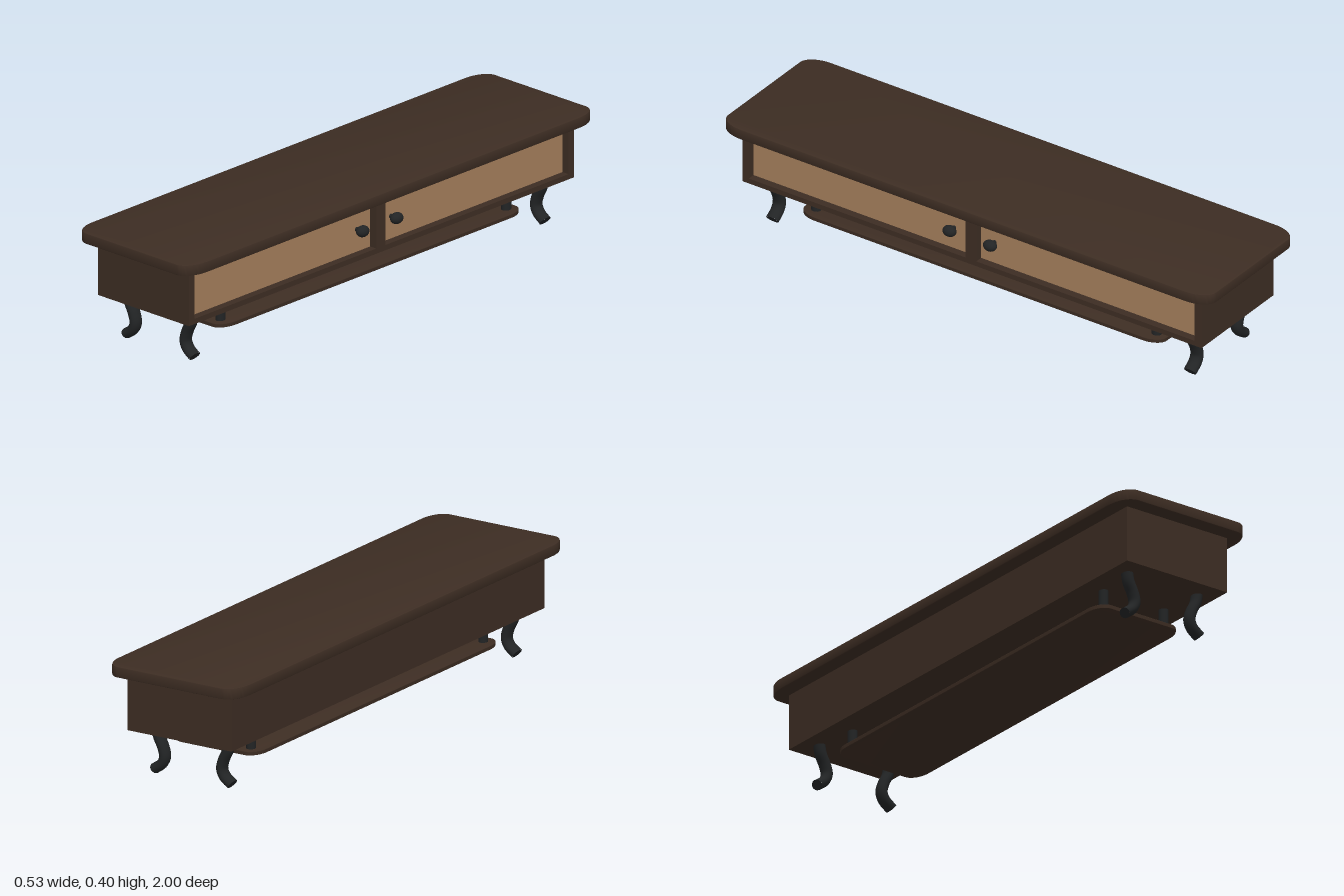
import * as THREE from 'three';
import { toCreasedNormals } from 'three/addons/utils/BufferGeometryUtils.js';

const darkWood = new THREE.MeshStandardMaterial({ color: 0x3d2d23 });
darkWood.name = 'darkWood';
const paleWood = new THREE.MeshStandardMaterial({ color: 0xa47e5b });
paleWood.name = 'paleWood';
const blackIron = new THREE.MeshStandardMaterial({ color: 0x222425 });
blackIron.name = 'blackIron';

export function createModel() {
  const model = new THREE.Group();
  model.name = 'lowCabinet';

  function add(name, geometry, material, x = 0, y = 0, z = 0) {
    const mesh = new THREE.Mesh(geometry, material);
    mesh.name = name;
    mesh.position.set(x, y, z);
    model.add(mesh);
    return mesh;
  }

  // Box given by its minimum and maximum corners
  function box(name, material, [x0, y0, z0], [x1, y1, z1]) {
    add(name, new THREE.BoxGeometry(x1 - x0, y1 - y0, z1 - z0), material,
      (x0 + x1) / 2, (y0 + y1) / 2, (z0 + z1) / 2);
  }

  // Horizontal board with oval corners and softened edges
  function board(name, hx, hz, rx, rz, y0, y1, bevel) {
    const s = new THREE.Shape();
    s.absellipse(hx - rx, hz - rz, rx, rz, 0, Math.PI / 2);
    s.absellipse(rx - hx, hz - rz, rx, rz, Math.PI / 2, Math.PI);
    s.absellipse(rx - hx, rz - hz, rx, rz, Math.PI, Math.PI * 1.5);
    s.absellipse(hx - rx, rz - hz, rx, rz, Math.PI * 1.5, Math.PI * 2);
    const g = new THREE.ExtrudeGeometry(s, {
      depth: y1 - y0 - 2 * bevel, curveSegments: 8,
      bevelThickness: bevel, bevelSize: bevel, bevelOffset: -bevel, bevelSegments: 2,
    });
    g.rotateX(-Math.PI / 2);
    add(name, toCreasedNormals(g, 0.6), darkWood, 0, y0 + bevel, 0);
  }

  board('tabletop', 0.265, 1, 0.055, 0.09, 0.36, 0.399, 0.004);
  board('lowerShelf', 0.173, 0.741, 0.045, 0.07, 0.079, 0.093, 0.002);

  // Cabinet carcass with a frame around the recessed drawers on the +x side
  const back = 0.175, face = 0.21;
  box('carcass', darkWood, [-face, 0.16, -0.94], [back, 0.362, 0.94]);
  box('bottomRail', darkWood, [back, 0.16, -0.94], [face, 0.179, 0.94]);
  box('topRail', darkWood, [back, 0.355, -0.94], [face, 0.362, 0.94]);
  box('centreStile', darkWood, [back, 0.179, -0.018], [face, 0.355, 0.026]);
  box('frontStile', darkWood, [back, 0.179, 0.914], [face, 0.355, 0.94]);
  box('rearStile', darkWood, [back, 0.179, -0.94], [face, 0.355, -0.912]);
  box('frontDrawer', paleWood, [back, 0.179, 0.026], [0.182, 0.355, 0.914]);
  box('rearDrawer', paleWood, [back, 0.179, -0.912], [0.182, 0.355, -0.018]);

  // Slightly oval knobs on short stems
  for (const z of [0.092, -0.074]) {
    add('knob', new THREE.SphereGeometry(0.02, 20, 14), blackIron, 0.21, 0.26, z).scale.z = 1.27;
    const stem = new THREE.CylinderGeometry(0.008, 0.008, 0.03, 12).rotateZ(Math.PI / 2);
    add('knobStem', stem, blackIron, 0.195, 0.26, z);
  }

  // S-curved legs sweeping outward at the foot, and hangers for the shelf
  for (const side of [-1, 1]) {
    const path = new THREE.CatmullRomCurve3([
      [0.147, 0.168], [0.14, 0.131], [0.123, 0.096], [0.115, 0.062], [0.126, 0.036], [0.156, 0.013],
    ].map(([x, y]) => new THREE.Vector3(side * x, y, 0)));
    // Flat foot end, facing along the end of the curve
    const end = path.getPointAt(1);
    const direction = path.getTangentAt(1);
    for (const z of [-0.855, 0.855]) {
      add('leg', new THREE.TubeGeometry(path, 20, 0.0185, 14), blackIron, 0, 0, z).scale.z = 1.3;
      const sole = add('footSole', new THREE.CircleGeometry(0.0185, 14), blackIron, end.x, end.y, z);
      sole.quaternion.setFromUnitVectors(new THREE.Vector3(0, 0, 1), direction);
      sole.scale.y = 1.3;
      // Stretch the disc along z, matching the oval tube
      const across = new THREE.Vector3(0, 0, 1);
      const up = new THREE.Vector3().crossVectors(direction, across);
      sole.setRotationFromMatrix(new THREE.Matrix4().makeBasis(up.negate(), across, direction));
    }
    for (const z of [-0.697, 0.697]) {
      const post = new THREE.CylinderGeometry(0.016, 0.016, 0.08, 16);
      add('shelfPost', post, blackIron, side * 0.126, 0.125, z).scale.z = 1.15;
    }
  }
  return model;
}
